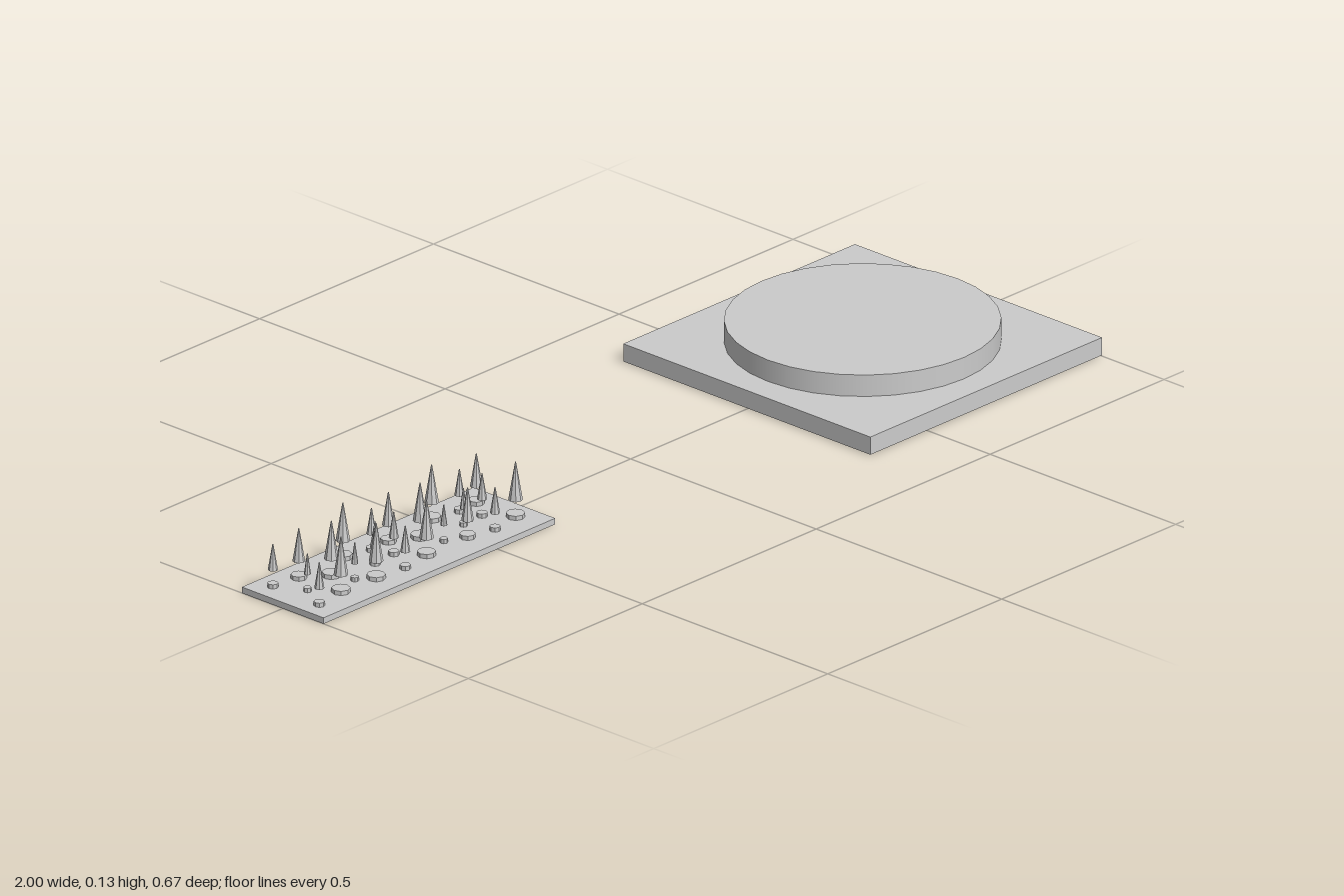
import * as THREE from 'three';

const material = new THREE.MeshStandardMaterial({ color: 0xcccccc });
const flat = new THREE.MeshStandardMaterial({ color: 0xcccccc, flatShading: true });

function add(parent, name, geometry, mat, x, y, z) {
  const mesh = new THREE.Mesh(geometry, mat);
  mesh.name = name;
  mesh.position.set(x, y, z);
  parent.add(mesh);
}

// Spike sizes: cone radius, cone tip height, foot disc radius
const sizes = {
  large: [0.0145, 0.131, 0.019],
  medium: [0.0125, 0.12, 0.016],
  small: [0.01, 0.105, 0.011],
  tiny: [0.007, 0.094, 0.008],
};

// Spike positions [x, z] by size
const layout = {
  large: [[-0.84, -0.019], [-0.76, -0.063], [-0.585, -0.019], [-0.505, -0.063],
    [-0.884, 0.048], [-0.788, 0.053], [-0.638, 0.048], [-0.382, 0.048]],
  medium: [[-0.892, -0.058], [-0.643, -0.05], [-0.387, -0.053], [-0.52, 0.048]],
  small: [[-0.958, -0.066], [-0.697, -0.045], [-0.441, -0.048], [-0.74, 0.005],
    [-0.681, 0], [-0.425, -0.002], [-0.961, 0.062], [-0.715, 0.063], [-0.457, 0.063]],
  tiny: [[-0.927, -0.002], [-0.825, 0.03], [-0.569, 0.03], [-0.484, 0.003]],
};

export function createModel() {
  const model = new THREE.Group();

  // Square plinth with a round platform
  const plinth = new THREE.Group();
  plinth.name = 'plinth';
  add(plinth, 'squareBase', new THREE.BoxGeometry(0.666, 0.038, 0.666), material, 0.667, 0.021, 0);
  add(plinth, 'roundPlatform', new THREE.CylinderGeometry(0.273, 0.273, 0.046, 32), material, 0.667, 0.063, 0);
  model.add(plinth);

  // Rectangular strip with spikes hovering over foot discs
  const strip = new THREE.Group();
  strip.name = 'spikeStrip';
  add(strip, 'stripBase', new THREE.BoxGeometry(0.666, 0.013, 0.22), material, -0.667, 0.0065, 0);
  for (const [size, spots] of Object.entries(layout)) {
    const [radius, tip, footRadius] = sizes[size];
    const height = tip - 0.05;
    const cone = new THREE.CylinderGeometry(0.001, radius, height, 8);
    const foot = new THREE.CylinderGeometry(footRadius, footRadius, 0.01, 8);
    for (const [x, z] of spots) {
      add(strip, 'spike', cone, flat, x, 0.05 + height / 2, z);
      add(strip, 'footDisc', foot, flat, x, 0.017, z);
    }
  }
  model.add(strip);

  return model;
}
